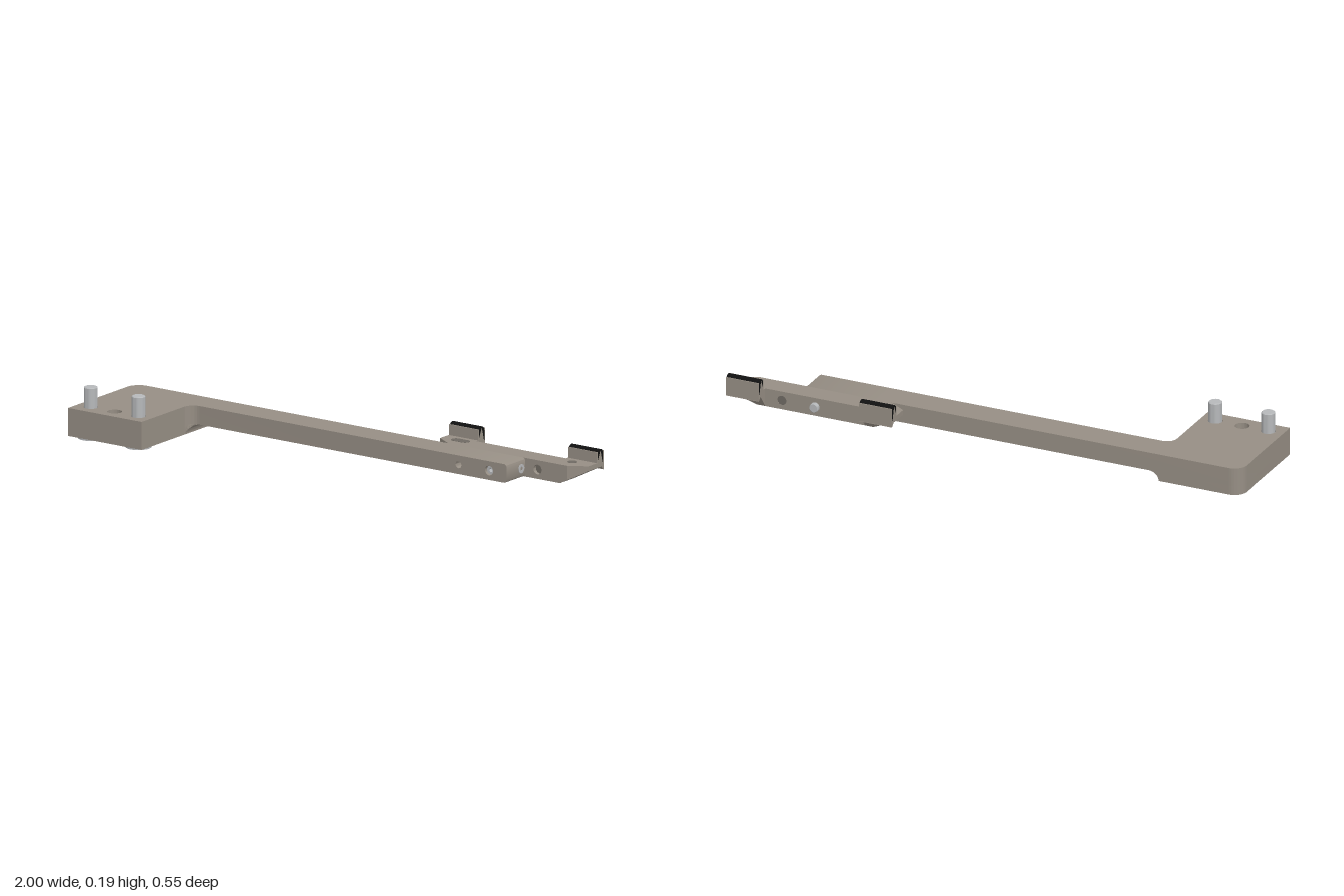
import * as THREE from 'three';
import { toCreasedNormals } from 'three/addons/utils/BufferGeometryUtils.js';

const body = new THREE.MeshStandardMaterial({ color: 0x968e84 });
const steel = new THREE.MeshStandardMaterial({ color: 0xb6b8ba });
const rubber = new THREE.MeshStandardMaterial({ color: 0x111111 });
const shade = new THREE.MeshStandardMaterial({ color: 0x6f6a63 });

const TOP = 0.115, MID = 0.045, LOW = 0.01;
const CLAMP_X = 0.667;

function poly(points) {
  return new THREE.Shape(points.map(([x, y]) => new THREE.Vector2(x, y)));
}
function hole(shape, x, y, r) {
  shape.holes.push(new THREE.Path().absarc(x, y, r, 0, Math.PI * 2, true));
}
function extrude(shape, depth, steps = 1) {
  return new THREE.ExtrudeGeometry(shape, { depth, steps, bevelEnabled: false, curveSegments: 16 });
}
// Moves every vertex by a rule, then sharpens the edges
function reshape(geo, rule) {
  const p = geo.attributes.position, v = new THREE.Vector3();
  for (let i = 0; i < p.count; i++) {
    rule(v.fromBufferAttribute(p, i));
    p.setXYZ(i, v.x, v.y, v.z);
  }
  geo.computeVertexNormals();
  return geo;
}

export function createModel() {
  const model = new THREE.Group();
  const add = (name, geo, mat, x = 0, y = 0, z = 0, parent = model) => {
    const mesh = new THREE.Mesh(geo, mat);
    mesh.name = name;
    mesh.position.set(x, y, z);
    parent.add(mesh);
    return mesh;
  };
  const solid = (geo) => toCreasedNormals(geo, 0.5);
  // Plan shapes use (x, -z) and rise along y
  const plan = (shape, h) => solid(extrude(shape, h).rotateX(-Math.PI / 2));

  // Upper layer: L-shaped plate and arm
  const upper = new THREE.Shape();
  upper.moveTo(-1, -0.277);
  upper.lineTo(-0.67, -0.277);
  upper.lineTo(-0.67, -0.015);
  upper.absarc(-0.63, -0.015, 0.04, Math.PI, Math.PI / 2, true);
  upper.lineTo(0.45, 0.025);
  upper.lineTo(0.45, 0.14);
  upper.lineTo(-0.95, 0.14);
  upper.absarc(-0.95, 0.09, 0.05, Math.PI / 2, Math.PI, false);
  // Lower layer: thick end of the mounting block with counterbores
  const lower = new THREE.Shape();
  lower.moveTo(-1, -0.277);
  lower.lineTo(-0.67, -0.277);
  lower.lineTo(-0.67, 0.14);
  lower.lineTo(-0.95, 0.14);
  lower.absarc(-0.95, 0.09, 0.05, Math.PI / 2, Math.PI, false);
  for (const x of [-0.941, -0.834, -0.727]) {
    hole(upper, x, -0.218, 0.027);
    hole(lower, x, -0.218, x === -0.834 ? 0.027 : 0.051);
  }
  add('armPlate', plan(upper, TOP - MID), body, 0, MID);
  add('mountingBlock', plan(lower, MID - LOW), body, 0, LOW);

  // Fillet under the arm, its front edge following the plan fillet
  const curve = (x) => Math.sqrt(Math.max(0, 1 - ((-0.63 - x) / 0.04) ** 2));
  const xs = Array.from({ length: 11 }, (_, i) => -0.67 + 0.04 * (1 - Math.cos(i / 10 * Math.PI / 2)));
  const filletPts = xs.map((x) => [x, LOW + 0.035 * curve(x)]);
  const underFillet = extrude(poly([...filletPts, ...xs.slice(0, -1).reverse().map((x) => [x, MID])]), 1);
  add('underFillet', solid(reshape(underFillet, (v) => {
    v.z = v.z > 0.5 ? 0.015 - 0.04 * curve(v.x) : -0.14;
  })), body);

  // Arm tip with rounded end and cross holes
  const tip = new THREE.Shape();
  tip.moveTo(0.45, MID);
  tip.lineTo(0.733, MID);
  tip.absarc(0.733, MID + 0.012, 0.012, -Math.PI / 2, 0, false);
  tip.absarc(0.733, TOP - 0.012, 0.012, 0, Math.PI / 2, false);
  tip.lineTo(0.45, TOP);
  hole(tip, 0.53, 0.08, 0.013);
  hole(tip, CLAMP_X, 0.08, 0.018);
  add('armTip', solid(extrude(tip, 0.115)), body, 0, 0, -0.14);

  // Socket screw along +y: hex recess in the bottom of the head
  function screw(name, headR, headH, shaftR, length) {
    const g = new THREE.Group();
    g.name = name;
    const head = new THREE.Shape().absarc(0, 0, headR, 0, Math.PI * 2, false);
    const hex = Array.from({ length: 6 }, (_, i) => {
      const a = -i * Math.PI / 3;
      return new THREE.Vector2(Math.cos(a) * headR * 0.5, Math.sin(a) * headR * 0.5);
    });
    head.holes.push(new THREE.Path(hex));
    add('screwHead', plan(head, headH), steel, 0, 0, 0, g);
    const start = headH * 0.5, chamfer = shaftR * 0.12;
    const shaft = [[0, start], [shaftR, start], [shaftR, length - chamfer], [shaftR - chamfer, length], [0, length]];
    const lathe = new THREE.LatheGeometry(shaft.map(([x, y]) => new THREE.Vector2(x, y)), 28);
    add('screwShaft', solid(lathe.toNonIndexed()), steel, 0, 0, 0, g);
    model.add(g);
    return g;
  }
  for (const x of [-0.941, -0.727]) {
    screw('mountingBolt', 0.047, 0.044, 0.025, 0.192).position.set(x, 0, 0.218);
  }
  // Screw in the end of the arm, and the clamp screw right through
  const endScrew = screw('endScrew', 0.017, 0.02, 0.012, 0.04);
  endScrew.rotation.z = Math.PI / 2;
  endScrew.position.set(0.747, 0.08, -0.115);
  const clampScrew = screw('clampScrew', 0.0175, 0.03, 0.0175, 0.2);
  clampScrew.rotation.x = -Math.PI / 2;
  clampScrew.position.set(CLAMP_X, 0.08, -0.037);

  // Middle of the clamp bar
  const bar = poly([[0.467, MID], [0.867, MID], [0.867, TOP], [0.467, TOP]]);
  hole(bar, CLAMP_X, 0.08, 0.018);
  hole(bar, 0.8, 0.08, 0.018);
  add('clampBar', solid(extrude(bar, 0.082)), body, 0, 0, -0.222);
  const pin = add('barPin', new THREE.CylinderGeometry(0.018, 0.018, 0.066, 24), shade, 0.8, 0.08, -0.188);
  pin.rotation.x = Math.PI / 2;

  // Jaws: hooked sections along x, tapered towards the outer end
  const section = poly([[0.14, MID], [0.222, MID], [0.26, 0.097], [0.275, 0.083],
    [0.255, 0.157], [0.236, TOP], [0.14, TOP]]);
  const pad = new THREE.Shape();
  pad.moveTo(0.239, 0.108);
  pad.lineTo(0.271, 0.108);
  pad.lineTo(0.271, 0.147);
  pad.absarc(0.255, 0.147, 0.016, 0, Math.PI, false);
  for (const x0 of [0.334, 0.867]) {
    const jaw = extrude(section, 0.133, 12).rotateY(Math.PI / 2).translate(x0, 0, 0);
    reshape(jaw, (v) => {
      const d = Math.abs(v.x - CLAMP_X);
      if (v.y < 0.05) {
        const rise = Math.max(0, d - 0.233) * 0.52;
        v.y += rise;
        if (v.z < -0.2) v.z -= rise * 0.73;
      }
      if (v.z > -0.15) v.z -= Math.max(0, d - 0.267) * 0.62;
    });
    add('jaw', solid(jaw), body);
    add('gripPad', solid(extrude(pad, 0.131).rotateY(Math.PI / 2)), rubber, x0 + 0.001);
    add('padFrontPlate', new THREE.BoxGeometry(0.131, 0.044, 0.005), body, x0 + 0.0665, 0.133, -0.2365);
    add('padBackPlate', new THREE.BoxGeometry(0.131, 0.07, 0.004), body, x0 + 0.0665, 0.12, -0.273);
  }

  // Adjustment slot and round hole on top of the jaws
  const slot = new THREE.Shape();
  slot.absarc(0.02, 0, 0.018, -Math.PI / 2, Math.PI / 2, false);
  slot.absarc(-0.02, 0, 0.018, Math.PI / 2, Math.PI * 1.5, false);
  add('jawSlot', plan(slot, 0.003), shade, 0.415, TOP - 0.002, -0.195);
  add('jawHole', new THREE.CylinderGeometry(0.018, 0.018, 0.003, 24), shade, 0.915, TOP - 0.0005, -0.195);

  return model;
}
